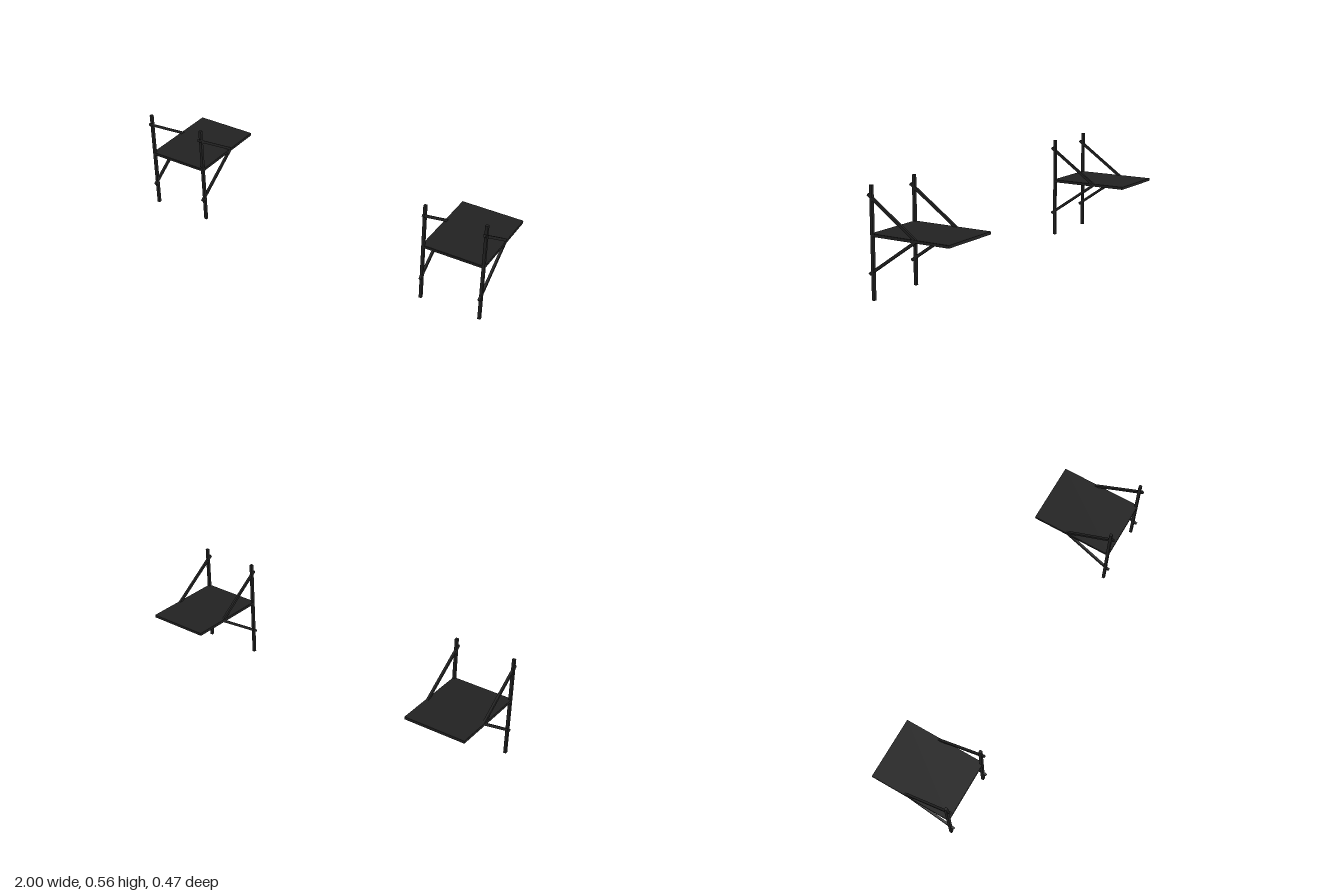
import * as THREE from 'three';

const BAR = 0.015;

export function createModel() {
  const model = new THREE.Group();
  const black = new THREE.MeshStandardMaterial({ color: 0x222222 });
  black.name = 'matte black';

  const box = (parent, name, size, pos, tilt = 0) => {
    const mesh = new THREE.Mesh(new THREE.BoxGeometry(...size), black);
    mesh.name = name;
    mesh.position.set(...pos);
    mesh.rotation.x = tilt;
    parent.add(mesh);
  };

  // Diagonal brace lying in a plane of constant x
  const brace = (parent, name, x, y0, z0, y1, z1) => {
    const dy = y1 - y0, dz = z1 - z0;
    box(parent, name, [0.012, 0.014, Math.hypot(dy, dz)],
      [x, (y0 + y1) / 2, (z0 + z1) / 2], Math.atan2(-dy, dz));
  };

  // Two identical shelf units, centred at x = -0.83 and 0.83
  for (const cx of [-0.83, 0.83]) {
    const unit = new THREE.Group();
    unit.name = cx > 0 ? 'leftUnit' : 'rightUnit';
    unit.position.x = cx;
    model.add(unit);

    // Thin deck on a frame of bars
    box(unit, 'deck', [0.338, 0.006, 0.45], [0, 0.3215, -0.0095]);
    for (const x of [-0.1625, 0, 0.1625])
      box(unit, x ? 'sideRail' : 'centreRail', [BAR, 0.012, 0.448], [x, 0.316, -0.0095]);
    for (const z of [-0.227, 0.2095])
      box(unit, 'crossRail', [0.336, 0.012, BAR], [0, 0.316, z]);

    // Upright posts with an upper and a lower brace on each side
    for (const s of [-1, 1]) {
      const x = s * 0.1615;
      box(unit, 'post', [BAR, 0.556, BAR], [s * 0.1625, 0.278, 0.2095]);
      brace(unit, 'upperBrace', x, 0.317, -0.046, 0.509, 0.231);
      brace(unit, 'lowerBrace', x, 0.317, -0.046, 0.125, 0.231);
    }
  }
  return model;
}
